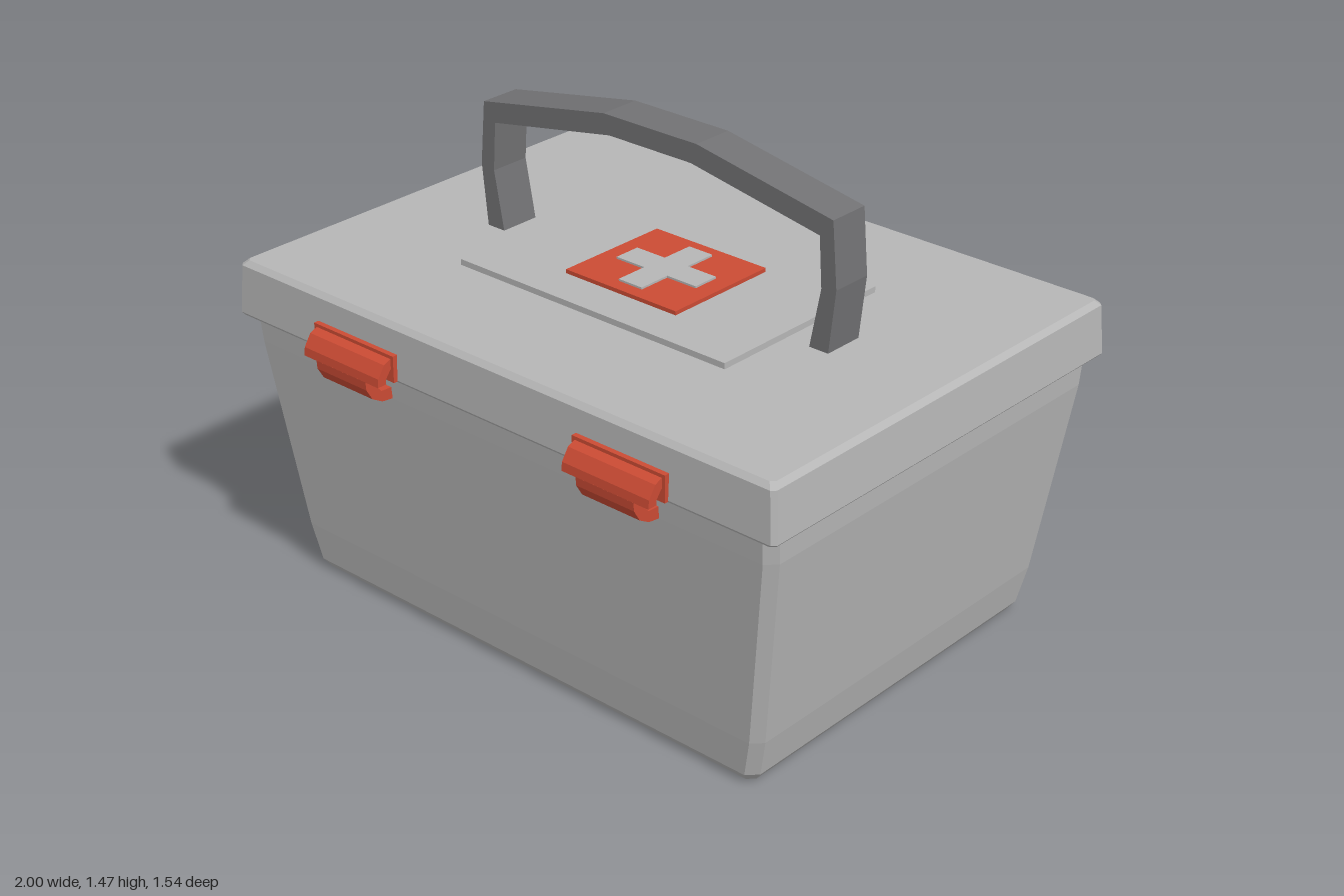
import * as THREE from 'three';

const grey = new THREE.MeshStandardMaterial({ color: 0xb6b6b6, flatShading: true });
grey.name = 'light grey plastic';
const dark = new THREE.MeshStandardMaterial({ color: 0x727274, flatShading: true });
dark.name = 'dark grey plastic';
const red = new THREE.MeshStandardMaterial({ color: 0xcb4b34, flatShading: true });
red.name = 'red plastic';

function add(parent, name, geometry, material, x = 0, y = 0, z = 0) {
  const mesh = new THREE.Mesh(geometry, material);
  mesh.name = name;
  mesh.position.set(x, y, z);
  parent.add(mesh);
  return mesh;
}

// Chamfered rectangular rings [y, half width, front z, back z, chamfer], lofted upward and capped
function loft(sections) {
  const pos = [];
  const tri = (...pts) => pts.forEach(p => pos.push(...p));
  const rings = sections.map(([y, w, f, b, c]) => [
    [w - c, y, f], [w, y, f - c], [w, y, b + c], [w - c, y, b],
    [c - w, y, b], [-w, y, b + c], [-w, y, f - c], [c - w, y, f],
  ]);
  for (let k = 0; k < rings.length - 1; k++) {
    const lo = rings[k], hi = rings[k + 1];
    for (let i = 0; i < 8; i++) {
      const j = (i + 1) % 8;
      tri(lo[i], lo[j], hi[j]);
      tri(lo[i], hi[j], hi[i]);
    }
  }
  const bottom = rings[0], top = rings[rings.length - 1];
  for (let i = 1; i < 7; i++) {
    tri(bottom[0], bottom[i + 1], bottom[i]);
    tri(top[0], top[i], top[i + 1]);
  }
  const g = new THREE.BufferGeometry();
  g.setAttribute('position', new THREE.Float32BufferAttribute(pos, 3));
  g.computeVertexNormals();
  return g;
}

function extrude(points, depth) {
  const shape = new THREE.Shape(points.map(p => new THREE.Vector2(...p)));
  return new THREE.ExtrudeGeometry(shape, { depth, bevelEnabled: false });
}

// Side profile of [z, y] points, extruded across x and centred
function sideProfile(points, width) {
  return extrude(points, width).translate(0, 0, -width / 2).rotateY(-Math.PI / 2);
}

// Plus sign: arm half length l, arm half width w
function cross(l, w, depth) {
  return extrude([
    [w, -l], [w, -w], [l, -w], [l, w], [w, w], [w, l],
    [-w, l], [-w, w], [-l, w], [-l, -w], [-w, -w], [-w, -l],
  ], depth);
}

export function createModel() {
  const model = new THREE.Group();
  model.name = 'firstAidBox';

  // Tapered body
  add(model, 'body', loft([
    [0, 0.835, 0.575, -0.595, 0.02],
    [0.03, 0.858, 0.597, -0.62, 0.03],
    [0.15, 0.885, 0.612, -0.634, 0.03],
    [0.75, 0.968, 0.672, -0.694, 0.03],
    [0.84, 0.972, 0.68, -0.702, 0.03],
  ]), grey);

  // Overhanging lid with softened edges
  add(model, 'lid', loft([
    [0.83, 0.993, 0.7, -0.727, 0.012],
    [0.838, 1, 0.705, -0.733, 0.012],
    [0.985, 0.99, 0.698, -0.725, 0.012],
    [1, 0.975, 0.683, -0.71, 0.012],
  ]), grey);

  // Lid emblem
  add(model, 'lidPanel', new THREE.BoxGeometry(0.985, 0.03, 0.64), grey, 0, 1.003, -0.018);
  add(model, 'lidBadge', new THREE.BoxGeometry(0.41, 0.03, 0.38), red, 0, 1.015, -0.018);
  add(model, 'lidCross', cross(0.148, 0.043, 0.008).rotateX(-Math.PI / 2), grey, 0, 1.028, -0.018);

  // Carrying handle
  const outer = [[0.635, 0.99], [0.657, 1.19], [0.64, 1.385], [0.17, 1.47]];
  const inner = [[0.57, 0.99], [0.607, 1.18], [0.597, 1.33], [0.15, 1.41]];
  const flip = pts => pts.map(([x, y]) => [-x, y]);
  add(model, 'handle', extrude([
    ...outer, ...flip(outer).reverse(), ...flip(inner), ...inner.slice().reverse(),
  ], 0.13), dark, 0, 0, -0.08);

  for (const side of [-1, 1]) {
    // Curled front latch
    const latch = new THREE.Group();
    latch.name = side > 0 ? 'leftLatch' : 'rightLatch';
    latch.position.x = side * 0.495;
    model.add(latch);
    add(latch, 'latchMount', new THREE.BoxGeometry(0.32, 0.08, 0.025), red, 0, 0.875, 0.705);
    add(latch, 'latchTop', sideProfile([
      [0.7, 0.88], [0.72, 0.873], [0.737, 0.85], [0.737, 0.835],
      [0.768, 0.835], [0.765, 0.86], [0.742, 0.895], [0.7, 0.912],
    ], 0.3), red);
    add(latch, 'latchHook', sideProfile([
      [0.67, 0.75], [0.71, 0.755], [0.745, 0.775], [0.766, 0.81], [0.768, 0.836],
      [0.737, 0.836], [0.735, 0.815], [0.712, 0.788], [0.67, 0.786],
    ], 0.2), red);

    // Rear hinge plate
    add(model, side > 0 ? 'leftHinge' : 'rightHinge', sideProfile([
      [-0.7, 0.765], [-0.725, 0.89], [-0.767, 0.885], [-0.748, 0.762],
    ], 0.215), red, side * 0.534);
  }

  // Rear emblem, leaning with the back wall
  const badge = new THREE.Group();
  badge.name = 'rearEmblem';
  badge.position.set(0, 0.473, -0.695);
  badge.rotation.x = -0.115;
  model.add(badge);
  add(badge, 'rearBadge', new THREE.BoxGeometry(0.48, 0.435, 0.042), red);
  add(badge, 'rearCross', cross(0.172, 0.05, 0.008), grey, 0, 0, -0.028);

  return model;
}
